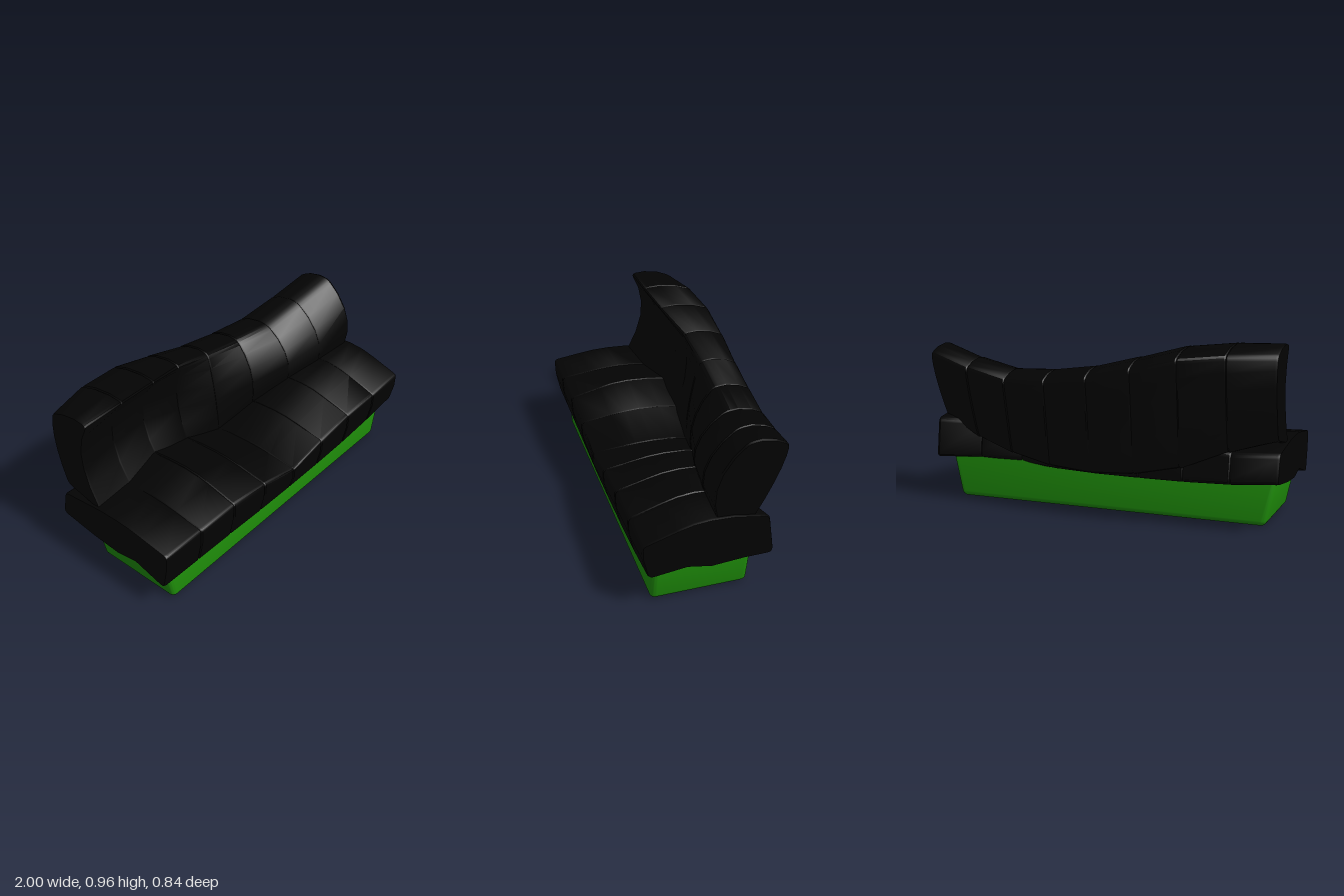
import * as THREE from 'three';
import { toCreasedNormals } from 'three/addons/utils/BufferGeometryUtils.js';
import { RoundedBoxGeometry } from 'three/addons/geometries/RoundedBoxGeometry.js';

const V = (z, y) => new THREE.Vector2(z, y);

// Points of a curve from a to b that passes through m halfway (ends excluded)
function bow(a, m, b, n = 5) {
  const c = m.clone().multiplyScalar(2).addScaledVector(a, -0.5).addScaledVector(b, -0.5);
  return new THREE.QuadraticBezierCurve(a, c, b).getPoints(n).slice(1, -1);
}

// A rounded corner p, between its neighbours
function corner(prev, p, next, r) {
  const a = p.clone().add(prev.clone().sub(p).setLength(r));
  const b = p.clone().add(next.clone().sub(p).setLength(r));
  return new THREE.QuadraticBezierCurve(a, p, b).getPoints(3);
}

// Loft one (z, y) section per station along x, with pinched seams between panels
function upholstery(name, sections, half, material) {
  const rings = [];
  const last = sections.length - 1;
  sections.forEach((pts, k) => {
    const x = half * (-1 + (2 * k) / last);
    const mid = pts.reduce((s, p) => s.add(p), V(0, 0)).divideScalar(pts.length);
    const pinched = pts.map((p) => p.clone().addScaledVector(p.clone().sub(mid).normalize(), -0.005));
    if (k > 0) rings.push([x - (k === last ? 0.012 : 0.007), pts]);
    rings.push([x, pinched]);
    if (k < last) rings.push([x + (k === 0 ? 0.012 : 0.007), pts]);
  });
  const n = sections[0].length;
  const pos = [], idx = [];
  rings.forEach(([x, pts]) => pts.forEach((p) => pos.push(x, p.y, p.x)));
  for (let i = 0; i < rings.length - 1; i++) {
    for (let j = 0; j < n; j++) {
      const a = i * n + j, b = i * n + ((j + 1) % n);
      idx.push(a, a + n, b + n, a, b + n, b);
    }
  }
  // End caps
  const end = (rings.length - 1) * n;
  THREE.ShapeUtils.triangulateShape(rings[0][1], []).forEach(([a, b, c]) => idx.push(a, b, c));
  THREE.ShapeUtils.triangulateShape(rings[rings.length - 1][1], [])
    .forEach(([a, b, c]) => idx.push(end + a, end + c, end + b));
  const geo = new THREE.BufferGeometry();
  geo.setAttribute('position', new THREE.Float32BufferAttribute(pos, 3));
  geo.setIndex(idx);
  const mesh = new THREE.Mesh(toCreasedNormals(geo, 0.6), material);
  mesh.name = name;
  return mesh;
}

// Seat stations: front bottom y, front top y, ridge y, rear z, rear bottom y
const SEAT = [
  [0.19, 0.42, 0.46, -0.33, 0.27],
  [0.185, 0.415, 0.45, -0.33, 0.25],
  [0.18, 0.41, 0.475, -0.32, 0.24],
  [0.172, 0.38, 0.42, -0.30, 0.235],
  [0.17, 0.325, 0.35, -0.27, 0.23],
  [0.17, 0.37, 0.42, -0.23, 0.23],
  [0.177, 0.40, 0.475, -0.17, 0.245],
  [0.195, 0.405, 0.495, -0.19, 0.25],
  [0.225, 0.415, 0.505, -0.25, 0.24],
];

function seatSection([fb, ft, ridge, rz, rb]) {
  const fBot = V(0.395, fb), fTop = V(0.425, ft), rTop = V(rz + 0.03, ridge - 0.04), rBot = V(rz, rb);
  const under = (fb + rb) / 2;
  const top = [V(0.25, ft + (ridge - ft) * 0.65), V(0.17, ft + (ridge - ft) * 0.9), V(0.08, ridge), V(-0.04, ridge - 0.006)];
  const bottom = [V(-0.1, under + 0.005), V(0.07, under - 0.01), V(0.2, under + 0.015)];
  return [
    ...corner(bottom[2], fBot, fTop, 0.025),
    V(0.42, fb + (ft - fb) * 0.6),
    ...corner(fBot, fTop, top[0], 0.02),
    ...top,
    ...corner(top[3], rTop, rBot, 0.025),
    ...corner(rTop, rBot, bottom[0], 0.03),
    ...bottom,
  ];
}

// Back stations: front z (bottom, middle, top), rear z (bottom, middle, top), front bottom y, rear bottom y, top y
const BACK = [
  [-0.05, -0.145, -0.085, -0.28, -0.345, -0.335, 0.43, 0.48, 0.96],
  [-0.08, -0.19, -0.09, -0.32, -0.38, -0.395, 0.42, 0.41, 0.957],
  [-0.11, -0.22, -0.115, -0.35, -0.392, -0.42, 0.40, 0.31, 0.935],
  [-0.13, -0.20, -0.18, -0.36, -0.395, -0.425, 0.36, 0.26, 0.874],
  [-0.12, -0.145, -0.20, -0.35, -0.385, -0.415, 0.31, 0.245, 0.817],
  [-0.08, -0.08, -0.19, -0.33, -0.37, -0.40, 0.36, 0.26, 0.787],
  [-0.02, -0.02, -0.165, -0.285, -0.34, -0.38, 0.42, 0.30, 0.778],
  [0.02, 0.015, -0.14, -0.215, -0.30, -0.345, 0.44, 0.36, 0.828],
  [0.045, 0.045, -0.10, -0.14, -0.255, -0.305, 0.48, 0.46, 0.897],
];

function backSection([f0, f1, f2, r0, r1, r2, fy, ry, ty]) {
  const fBot = V(f0, fy), fTop = V(f2, ty - 0.01), rTop = V(r2, ty - 0.05), rBot = V(r0, ry);
  const front = bow(fBot, V(f1, (fy + ty) / 2 + 0.01), fTop);
  const rear = bow(rTop, V(r1, (ry + ty) / 2), rBot);
  const crown = bow(fTop, V((f2 + r2) / 2, ty - 0.008), rTop, 3);
  return [
    ...corner(rBot, fBot, front[0], 0.02),
    ...front,
    ...corner(front[front.length - 1], fTop, crown[0], 0.03),
    ...crown,
    ...corner(crown[crown.length - 1], rTop, rear[0], 0.025),
    ...rear,
    ...corner(rear[rear.length - 1], rBot, fBot, 0.03),
  ];
}

export function createModel() {
  const group = new THREE.Group();
  group.name = 'sofa';
  const fabric = new THREE.MeshStandardMaterial({ color: 0x030303 });
  const green = new THREE.MeshStandardMaterial({ color: 0x1f8f0a });

  group.add(upholstery('seat', SEAT.map(seatSection), 1, fabric));
  group.add(upholstery('backrest', BACK.map(backSection), 0.985, fabric));

  // Base: rounded box whose ends flare outwards towards the top
  const h = 0.28;
  const geo = new RoundedBoxGeometry(1.8, h, 0.51, 4, 0.03);
  geo.translate(0, h / 2, 0.1);
  const p = geo.attributes.position;
  for (let i = 0; i < p.count; i++) p.setX(i, p.getX(i) * (1 + 0.24 * p.getY(i)));
  geo.computeVertexNormals();
  const base = new THREE.Mesh(toCreasedNormals(geo, 0.6), green);
  base.name = 'base';
  group.add(base);
  return group;
}
